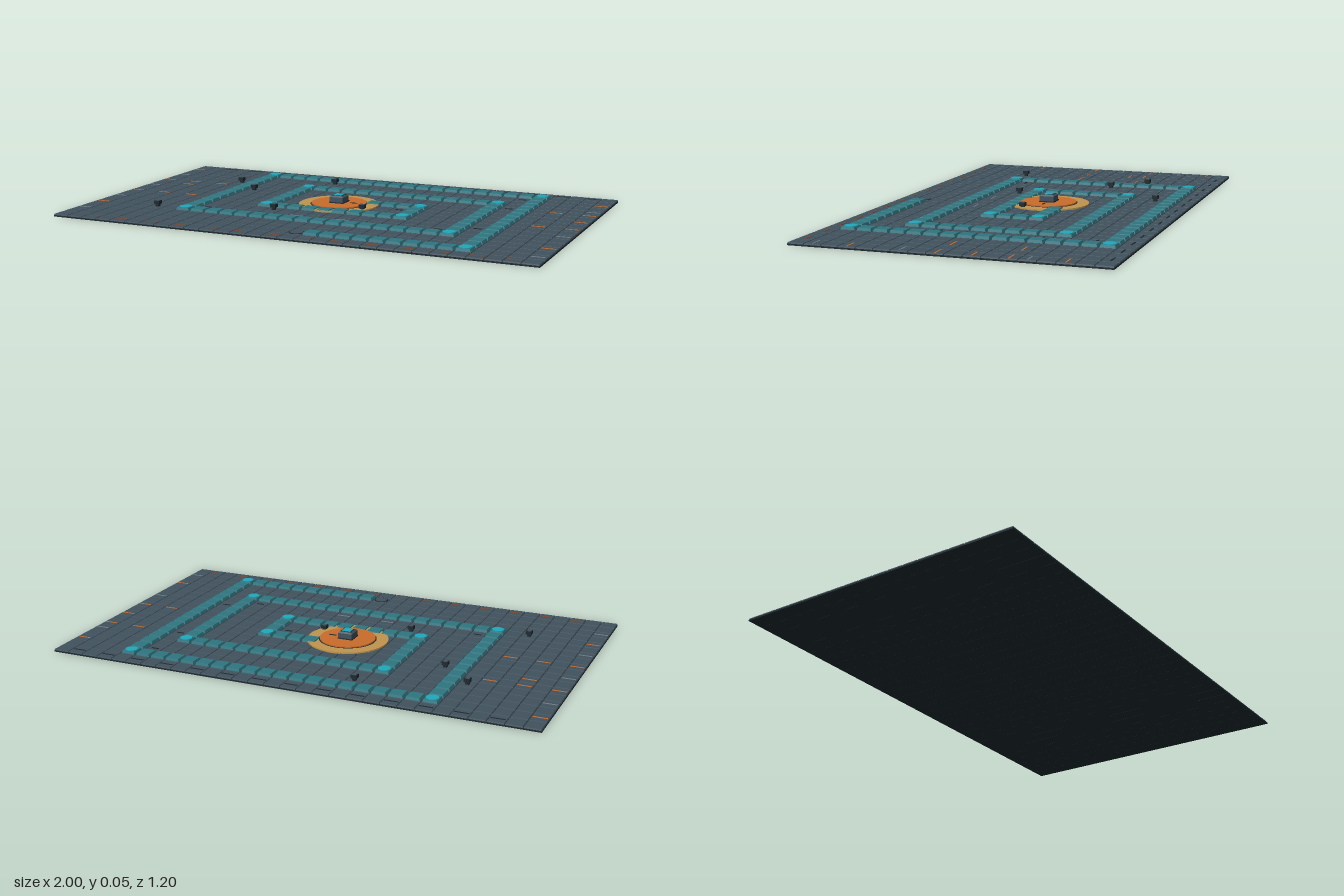
import * as THREE from 'three';
import { mergeGeometries } from 'three/addons/utils/BufferGeometryUtils.js';

const P = 2 / 30; // tile pitch
const mat = (name, color) => {
  const m = new THREE.MeshStandardMaterial({ color, flatShading: true });
  m.name = name;
  return m;
};
const X = (c) => -1 + (c + 0.5) * P;
const Z = (r) => -0.6 + (r + 0.5) * P;

// Tapered square block standing on y0
function block(x, z, y0, y1, base, top = base) {
  const g = new THREE.CylinderGeometry(top / Math.SQRT2, base / Math.SQRT2, y1 - y0, 4);
  g.rotateY(Math.PI / 4);
  return g.translate(x, (y0 + y1) / 2, z);
}
function disc(x, z, y0, y1, r, sides, top = r) {
  return new THREE.CylinderGeometry(top, r, y1 - y0, sides).translate(x, (y0 + y1) / 2, z);
}
function dash(c, r, y = 0.0118) {
  return new THREE.BoxGeometry(0.055, 0.0014, 0.006).translate(X(c), y, Z(r));
}

export function createModel() {
  const group = new THREE.Group();
  const dark = mat('dark steel', 0x1f2a30);
  const slate = mat('slate', 0x41525e);
  const teal = mat('teal', 0x2f7680);
  const cyan = mat('bright cyan', 0x1fa9bd);
  const tan = mat('sand', 0xc0954f);
  const orange = mat('orange', 0xcb6c2a);
  const rust = mat('rust', 0x84492a);
  const grey = mat('pale grey', 0x70808a);
  const add = (name, material, geos) => {
    const m = new THREE.Mesh(mergeGeometries(geos), material);
    m.name = name;
    group.add(m);
  };

  // Floor: dark trays with slate panels
  const trays = [], panels = [];
  for (let c = 0; c < 30; c++) for (let r = 0; r < 18; r++) {
    trays.push(new THREE.BoxGeometry(0.0662, 0.006, 0.0662).translate(X(c), 0.003, Z(r)));
    panels.push(block(X(c), Z(r), 0.006, 0.011, 0.0645, 0.0615));
  }
  add('floorTrays', dark, trays);
  add('floorPanels', slate, panels);

  // Spiral path of raised pads, with a bright marker at each turn
  const turns = [[15, 16], [25, 16], [25, 1], [6, 1], [6, 13], [23, 13], [23, 4],
    [10, 4], [10, 10], [19, 10], [19, 7], [16, 7]];
  const pads = [], markers = [];
  for (let i = 1; i < turns.length; i++) {
    const [c0, r0] = turns[i - 1], [c1, r1] = turns[i];
    const n = Math.abs(c1 - c0) + Math.abs(r1 - r0);
    for (let k = 1; k <= n; k++) {
      const c = c0 + (c1 - c0) * k / n, r = r0 + (r1 - r0) * k / n;
      pads.push(block(X(c), Z(r), 0.011, 0.021, 0.058, 0.052));
    }
    if (i < turns.length - 1) markers.push(disc(X(c1), Z(r1), 0.021, 0.0235, 0.026, 8));
  }
  add('pathPads', teal, pads);
  add('turnMarkers', cyan, markers);

  // Start ring
  add('startRing', dark, [disc(X(15), Z(16), 0.011, 0.0125, 0.03, 16)]);
  add('startDisc', slate, [disc(X(15), Z(16), 0.0125, 0.0135, 0.026, 16)]);

  // Central platform and core
  const cx = X(14), cz = Z(8);
  add('platform', tan, [disc(cx, cz, 0.01, 0.0165, 0.166, 40)]);
  add('platformRim', dark, [disc(cx, cz, 0.0165, 0.0175, 0.118, 40)]);
  add('platformTop', orange, [disc(cx, cz, 0.0175, 0.022, 0.114, 40)]);
  add('coreBase', dark, [block(cx, cz, 0.022, 0.026, 0.064)]);
  add('coreBody', slate, [block(cx, cz, 0.026, 0.046, 0.06), block(cx, cz, 0.046, 0.052, 0.06, 0.05)]);
  add('coreRim', dark, [block(cx, cz, 0.052, 0.0525, 0.046)]);
  add('coreLight', cyan, [block(cx, cz, 0.0525, 0.0545, 0.036)]);

  // Small posts
  const posts = [[4, 13], [5, 4], [7, 6], [11, 2], [16, 9], [11, 11]];
  add('posts', dark, posts.flatMap(([c, r]) => [
    block(X(c), Z(r), 0.011, 0.021, 0.014), block(X(c), Z(r), 0.021, 0.035, 0.024)]));
  add('postCaps', slate, posts.map(([c, r]) => block(X(c), Z(r), 0.035, 0.0365, 0.017)));

  // Floor markings
  const marks = (list) => list.map(([c, r]) => dash(c, r));
  add('orangeMarks', orange, marks([[0, 1], [0, 5], [2, 5], [4, 5], [2, 6], [0, 9], [2, 9], [4, 9],
    [0, 13], [29, 2], [29, 5], [27, 5], [29, 7], [29, 9], [27, 9], [29, 14]]));
  const front = [], back = [];
  for (let c = 2; c < 30; c += 2) {
    front.push([c, 17]);
    back.push([c, 0]);
  }
  add('frontMarks', rust, marks(front));
  add('backMarks', dark, marks(back));
  add('greyMarks', grey, marks([[0, 3], [0, 7], [0, 11], [0, 15], [29, 4], [29, 11], [29, 16],
    [13, 12], [16, 12]]));
  add('darkMarks', dark, [[24, 2], [24, 5], [24, 11], [22, 12], [7, 12], [18, 8], [15, 8]].map(([c, r]) =>
    new THREE.BoxGeometry(0.03, 0.002, 0.006).translate(X(c), c === 15 ? 0.023 : 0.012, Z(r))));
  return group;
}
